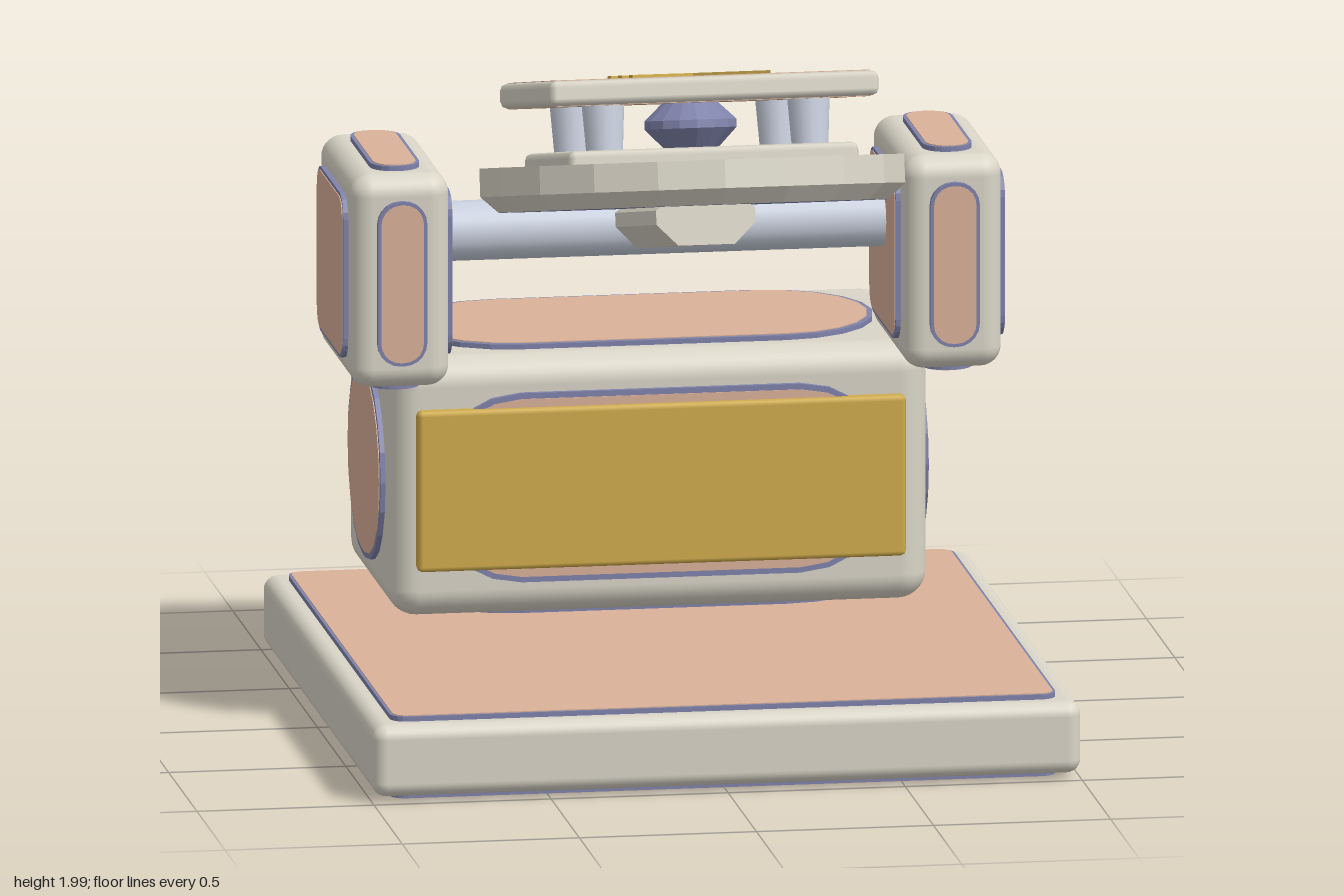
import * as THREE from 'three';
import { RoundedBoxGeometry } from 'three/addons/geometries/RoundedBoxGeometry.js';

const material = (name, color) => {
  const m = new THREE.MeshStandardMaterial({ color });
  m.name = name;
  return m;
};

// Faceted normals for low-poly parts
function faceted(geometry) {
  const g = geometry.index ? geometry.toNonIndexed() : geometry;
  g.computeVertexNormals();
  return g;
}

// Rounded rectangle with a few straight facets per corner
function roundedRect(w, h, radius) {
  const r = Math.min(radius, Math.min(w, h) / 2 - 0.003);
  const pts = [], steps = 5;
  [[1, 1], [-1, 1], [-1, -1], [1, -1]].forEach(([sx, sy], q) => {
    for (let i = 0; i <= steps; i++) {
      const a = (q + i / steps) * Math.PI / 2;
      pts.push(new THREE.Vector2(sx * (w / 2 - r) + r * Math.cos(a), sy * (h / 2 - r) + r * Math.sin(a)));
    }
  });
  return new THREE.Shape(pts);
}

const extrude = (shape, depth) => new THREE.ExtrudeGeometry(shape, { depth, bevelEnabled: false });

export function createModel() {
  const cream = material('cream shell', 0xd9d5c7);
  const tan = material('tan panel', 0xdab199);
  const blue = material('slate blue trim', 0x7f83ab);
  const steel = material('pale steel', 0xc9d0de);
  const gold = material('gold', 0xcfab4b);

  const model = new THREE.Group();
  model.name = 'launchPad';

  const add = (parent, name, geometry, mat, x = 0, y = 0, z = 0) => {
    const mesh = new THREE.Mesh(geometry, mat);
    mesh.name = name;
    mesh.position.set(x, y, z);
    parent.add(mesh);
    return mesh;
  };

  // Raised panel facing +z: blue trim around a tan face
  function panel(w, h, radius, rim) {
    const g = new THREE.Group();
    g.name = 'panel';
    add(g, 'panelTrim', extrude(roundedRect(w, h, radius), 0.024), blue, 0, 0, -0.01);
    add(g, 'panelFace', extrude(roundedRect(w - 2 * rim, h - 2 * rim, radius - rim), 0.006), tan, 0, 0, 0.0105);
    return g;
  }

  // Rounded block with a panel on each listed side
  function panelBlock(name, size, centre, o) {
    const [w, h, d] = size, q = Math.PI / 2, e = 2 * o.inset;
    const block = new THREE.Group();
    block.name = name;
    block.position.set(...centre);
    add(block, name + 'Shell', new RoundedBoxGeometry(w, h, d, 4, o.round), cream);
    const sides = [
      [w, d, 0, h / 2, 0, -q, 0], [w, d, 0, -h / 2, 0, q, 0],
      [w, h, 0, 0, d / 2, 0, 0], [w, h, 0, 0, -d / 2, 0, Math.PI],
      [d, h, w / 2, 0, 0, 0, q], [d, h, -w / 2, 0, 0, 0, -q],
    ];
    for (const [pw, ph, x, y, z, rx, ry] of sides.slice(0, o.sides)) {
      const p = panel(pw - e, ph - e, o.corner, o.rim);
      p.position.set(x, y, z);
      p.rotation.set(rx, ry, 0);
      block.add(p);
    }
    model.add(block);
  }

  // Base, body and the two side blocks
  panelBlock('base', [2, 0.205, 1.99], [0, 0.1175, 0.005], { round: 0.04, inset: 0.06, corner: 0.045, rim: 0.008, sides: 2 });
  panelBlock('body', [1.52, 0.74, 0.785], [0, 0.62, -0.593], { round: 0.08, inset: 0.1, corner: 0.3, rim: 0.016, sides: 6 });
  for (const s of [1, -1]) {
    panelBlock(s > 0 ? 'leftBlock' : 'rightBlock', [0.28, 0.61, 0.605], [s * 0.78, 1.285, -0.19],
      { round: 0.06, inset: 0.07, corner: 0.065, rim: 0.01, sides: 6 });
  }

  // Front plate and cross bar
  add(model, 'frontPlate', new RoundedBoxGeometry(1.38, 0.46, 0.045, 1, 0.015), gold, 0, 0.62, -0.19);
  const bar = add(model, 'crossBar', new THREE.CylinderGeometry(0.084, 0.084, 1.3, 24), steel, 0, 1.36, -0.195);
  bar.rotation.z = Math.PI / 2;

  // Tilted head
  const head = new THREE.Group();
  head.name = 'tiltedHead';
  head.position.set(0, 1.855, 0.31);
  head.rotation.x = -13 * Math.PI / 180;
  model.add(head);

  const lathe = (pts, n) => faceted(new THREE.LatheGeometry(pts.map(p => new THREE.Vector2(...p)), n));

  // Top plate with tan faces above and below
  add(head, 'topPlate', new RoundedBoxGeometry(0.93, 0.07, 0.93, 1, 0.02), cream);
  add(head, 'topPlateFace', new THREE.BoxGeometry(0.885, 0.006, 0.885), tan, 0, 0.034, 0);
  add(head, 'topPlateUnderside', new THREE.BoxGeometry(0.885, 0.006, 0.885), tan, 0, -0.034, 0);

  // Three chevrons pointing backwards
  const chevron = new THREE.Shape([[0, 0.033], [-0.195, -0.122], [-0.195, -0.19], [0, -0.035], [0.195, -0.19], [0.195, -0.122]]
    .map(p => new THREE.Vector2(...p)));
  for (let i = 0; i < 3; i++) {
    const c = add(head, 'chevron', extrude(chevron, 0.009), gold, 0, 0.0365, -0.345 + i * 0.195);
    c.rotation.x = -Math.PI / 2;
  }

  // Posts and central joint between the plates
  for (const x of [-0.29, 0.29]) for (const z of [-0.29, 0.29]) {
    add(head, 'post', new THREE.CylinderGeometry(0.06, 0.052, 0.13, 16), steel, x, -0.099, z);
  }
  add(head, 'centreJoint', lathe([[0, -0.165], [0.075, -0.165], [0.13, -0.108], [0.13, -0.085], [0.075, -0.033]], 16), blue);

  // Lower plate and round dish
  add(head, 'lowerPlate', new RoundedBoxGeometry(0.82, 0.08, 0.82, 1, 0.02), cream, 0, -0.202, 0);
  add(head, 'dishRim', lathe([[0.55, -0.325], [0.6, -0.28], [0.6, -0.2], [0.545, -0.2]], 20), cream);
  add(head, 'dish', lathe([[0, -0.325], [0.55, -0.325], [0.545, -0.2], [0.5, -0.235], [0, -0.235]], 20), blue);

  // Support arm under the dish, reaching back to the bar
  const armSection = new THREE.Shape([[-0.12, -0.32], [-0.14, -0.335], [-0.14, -0.375], [-0.08, -0.435],
    [0.08, -0.435], [0.14, -0.375], [0.14, -0.335], [0.12, -0.32]].map(p => new THREE.Vector2(...p)));
  add(head, 'supportArm', extrude(armSection, 0.88), cream, 0, 0, -0.66);

  return model;
}
